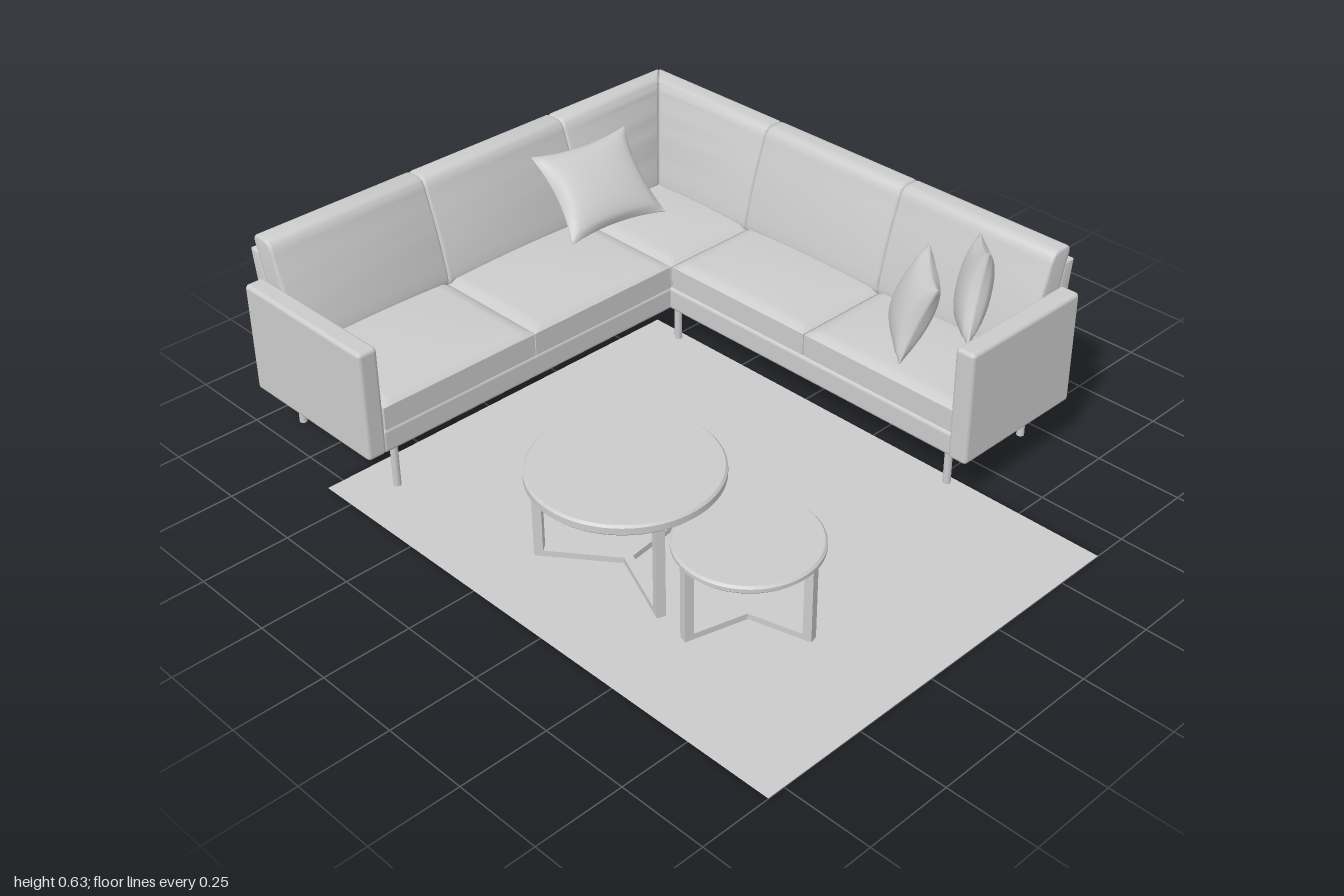
import * as THREE from 'three';
import { RoundedBoxGeometry } from 'three/addons/geometries/RoundedBoxGeometry.js';
import { toCreasedNormals } from 'three/addons/utils/BufferGeometryUtils.js';

const grey = new THREE.MeshStandardMaterial({ color: 0xcccccc });
const thin = new THREE.MeshStandardMaterial({ color: 0xcccccc, side: THREE.DoubleSide });
const rad = THREE.MathUtils.degToRad;
const SHIFT = 0.2; // side run sits this much closer to the centre than the back run

function add(parent, name, geometry, x = 0, y = 0, z = 0, material = grey) {
  const mesh = new THREE.Mesh(geometry, material);
  mesh.name = name;
  mesh.position.set(x, y, z);
  parent.add(mesh);
  return mesh;
}

// Rounded block given by its limits; crown puffs up the top face
function block(parent, name, [x0, x1], [y0, y1], [z0, z1], radius = 0.012) {
  return add(parent, name, new RoundedBoxGeometry(x1 - x0, y1 - y0, z1 - z0, 3, radius),
    (x0 + x1) / 2, (y0 + y1) / 2, (z0 + z1) / 2);
}

// Seat cushion: a soft box whose top is domed and whose edges are rolled
function seatCushion(parent, [x0, x1], [z0, z1]) {
  const w = x1 - x0 - 0.003, d = z1 - z0 - 0.003, h = 0.08;
  const g = new THREE.BoxGeometry(w, h, d, 24, 4, 24);
  const p = g.attributes.position;
  const roll = (t, size) => Math.min(1, (size / 2 - Math.abs(t)) / 0.02);
  for (let i = 0; i < p.count; i++) {
    const x = p.getX(i), y = p.getY(i), z = p.getZ(i);
    const u = 2 * x / w, v = 2 * z / d;
    if (y > h / 2 - 1e-4) {
      const e = Math.min(roll(x, w), roll(z, d));
      p.setY(i, y - 0.012 * (1 - e) + 0.011 * (1 - u * u) * (1 - v * v));
    }
  }
  g.computeVertexNormals();
  add(parent, 'seatCushion', g, (x0 + x1) / 2, 0.205 + h / 2, (z0 + z1) / 2);
}

// Leaning profile (outward, height) swept along a run; one end may be mitred
function leaning(parent, name, shape, run, from, to, bevel, mitred) {
  const g = new THREE.ExtrudeGeometry(shape, {
    depth: to - from - 2 * bevel, curveSegments: 8, bevelEnabled: true,
    bevelSize: bevel, bevelOffset: -bevel, bevelThickness: bevel, bevelSegments: 3,
  });
  g.translate(0, 0, from + bevel);
  const p = g.attributes.position, mid = (from + to) / 2;
  for (let i = 0; i < p.count; i++) {
    const s = p.getZ(i), out = p.getX(i);
    if (mitred && run === 'back' && s > mid) p.setZ(i, s - to + out - SHIFT);
    if (mitred && run === 'side' && s < mid) p.setZ(i, s - from - out);
  }
  const mesh = add(parent, name, toCreasedNormals(g, 0.7));
  if (run === 'back') mesh.rotation.y = Math.PI / 2;
  else mesh.position.x = -SHIFT;
}

function panelShape() {
  return new THREE.Shape([[0.88, 0.2], [0.945, 0.2], [0.992, 0.53], [0.955, 0.53]]
    .map(([a, b]) => new THREE.Vector2(a, b)));
}

function backCushionShape() {
  const s = new THREE.Shape();
  s.moveTo(0.89, 0.26);
  s.lineTo(0.962, 0.53);
  s.quadraticCurveTo(0.985, 0.58, 0.955, 0.58);
  s.lineTo(0.925, 0.58);
  s.quadraticCurveTo(0.9, 0.58, 0.89, 0.54);
  s.quadraticCurveTo(0.845, 0.42, 0.82, 0.3);
  s.quadraticCurveTo(0.815, 0.265, 0.84, 0.26);
  return s;
}

// Loose pillow: puffed middle, thin edges drawn in between pointed corners
function pillow(parent, w, h, t, pos, yaw, lean, roll) {
  const g = new THREE.BoxGeometry(w, h, t, 20, 20, 1);
  const p = g.attributes.position;
  for (let i = 0; i < p.count; i++) {
    const u = 2 * p.getX(i) / w, v = 2 * p.getY(i) / h;
    const puff = Math.pow(Math.max(0, (1 - u * u) * (1 - v * v)), 0.5);
    p.setXYZ(i, p.getX(i) * (1 - 0.13 * (1 - v * v) * u * u),
      p.getY(i) * (1 - 0.13 * (1 - u * u) * v * v),
      p.getZ(i) * (0.05 + 0.95 * puff));
  }
  g.computeVertexNormals();
  const mesh = add(parent, 'pillow', g, ...pos);
  mesh.rotation.set(rad(-lean), rad(yaw), rad(roll), 'YXZ');
}

// Round table on three bent bar legs that meet in the centre
function table(parent, name, x, z, radius, height, topThickness, legRadius, angle) {
  const group = new THREE.Group();
  group.name = name;
  group.position.set(x, 0, z);
  parent.add(group);
  const low = height - topThickness, b = 0.006;
  const profile = [[0, low], [radius - b, low], [radius, low + b], [radius, height - b],
    [radius - b, height], [0, height]].map(([r, y]) => new THREE.Vector2(r, y));
  add(group, 'tableTop', toCreasedNormals(new THREE.LatheGeometry(profile, 64), 0.6));
  const bar = 0.024, flat = 0.018;
  for (let i = 0; i < 3; i++) {
    const leg = new THREE.Group();
    leg.name = 'tableLeg';
    leg.rotation.y = -rad(angle + i * 120);
    group.add(leg);
    const reach = legRadius + bar / 2;
    add(leg, 'footBar', new THREE.BoxGeometry(reach, flat, bar), reach / 2, flat / 2, 0);
    add(leg, 'topBar', new THREE.BoxGeometry(reach, flat, bar), reach / 2, low - flat / 2, 0);
    add(leg, 'upright', new THREE.BoxGeometry(bar, low - 2 * flat, bar), legRadius, low / 2, 0);
  }
}

export function createModel() {
  const model = new THREE.Group();
  model.name = 'loungeSet';

  // Rug
  const rug = add(model, 'rug', new THREE.PlaneGeometry(1.2, 1.6), -0.2, 0.001, 0.2, thin);
  rug.rotation.x = -Math.PI / 2;

  // Corner sofa: base, arms and legs
  const sofa = new THREE.Group();
  sofa.name = 'cornerSofa';
  model.add(sofa);
  block(sofa, 'backBase', [-0.71, 0.75], [0.135, 0.208], [-0.953, -0.455]);
  block(sofa, 'sideBase', [0.315, 0.75], [0.135, 0.208], [-0.47, 0.58]);
  block(sofa, 'rightArm', [-0.76, -0.70], [0.135, 0.46], [-0.95, -0.455]);
  block(sofa, 'frontArm', [0.31, 0.748], [0.135, 0.47], [0.573, 0.633]);
  for (const [x, z] of [[-0.66, -0.905], [-0.66, -0.485], [0.375, -0.485],
    [0.69, -0.905], [0.375, 0.53], [0.69, 0.53]])
    add(sofa, 'sofaLeg', new THREE.CylinderGeometry(0.011, 0.011, 0.14, 16), x, 0.07, z);

  // Seat cushions
  const xs = [-0.70, -0.19, 0.32, 0.70], zs = [-0.455, 0.055, 0.573];
  for (let i = 0; i < 3; i++) seatCushion(sofa, [xs[i], xs[i + 1]], [-0.9, -0.455]);
  for (let i = 0; i < 2; i++) seatCushion(sofa, [0.32, 0.70], [zs[i], zs[i + 1]]);

  // Leaning back panels and back cushions, mitred at the corner
  leaning(sofa, 'backPanel', panelShape(), 'back', -0.70, 0.75, 0.004, true);
  leaning(sofa, 'sidePanel', panelShape(), 'side', -0.95, 0.573, 0.004, true);
  for (let i = 0; i < 3; i++) {
    leaning(sofa, 'backCushion', backCushionShape(), 'back', xs[i], xs[i + 1], 0.008, i === 2);
    const z = [-0.9, ...zs];
    leaning(sofa, 'sideCushion', backCushionShape(), 'side', z[i], z[i + 1], 0.008, i === 0);
  }

  // Loose pillows
  pillow(sofa, 0.33, 0.28, 0.09, [0.32, 0.425, -0.755], -7, 45, 0);
  pillow(sofa, 0.25, 0.24, 0.10, [0.48, 0.41, 0.30], -135, 22, 0);
  pillow(sofa, 0.24, 0.25, 0.09, [0.56, 0.475, 0.43], -140, 10, 17);

  // Nesting coffee tables
  table(model, 'largeTable', -0.45, 0.18, 0.25, 0.298, 0.03, 0.225, -7);
  table(model, 'smallTable', -0.39, 0.54, 0.187, 0.238, 0.022, 0.168, 75);
  return model;
}
